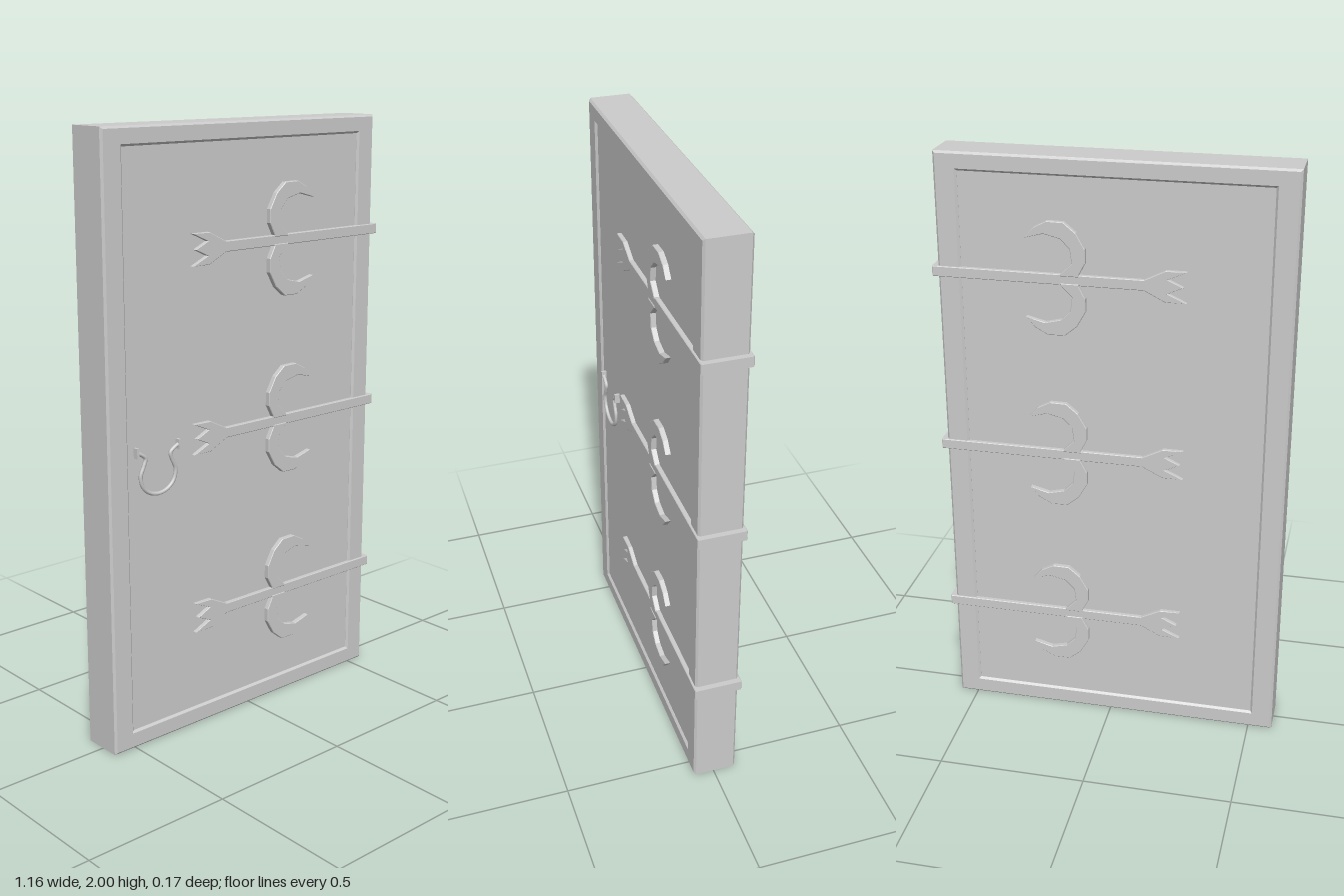
import * as THREE from 'three';

const MID_Z = -0.004;      // middle of the door's thickness
const HALF = 0.074;        // half thickness of the door frame
const material = new THREE.MeshStandardMaterial({ color: 0xcccccc, flatShading: true });
const smooth = new THREE.MeshStandardMaterial({ color: 0xcccccc });

function addMesh(parent, name, geometry, x = 0, y = 0, z = 0, mat = material) {
  const mesh = new THREE.Mesh(geometry, mat);
  mesh.name = name;
  mesh.position.set(x, y, z);
  parent.add(mesh);
  return mesh;
}

const toPoints = (list) => list.map(([x, y]) => new THREE.Vector2(x, y));

function rectangle(x0, y0, x1, y1) {
  return toPoints([[x0, y0], [x1, y0], [x1, y1], [x0, y1]]);
}

// Flat metalwork with a tiny bevel, running from z = 0 to z = depth
function plate(points, depth) {
  const bevel = 0.002;
  const geometry = new THREE.ExtrudeGeometry(new THREE.Shape(points), {
    depth: depth - bevel, bevelEnabled: true, bevelThickness: bevel,
    bevelSize: bevel, bevelOffset: -bevel, bevelSegments: 1,
  });
  return geometry;
}

// Strap with a split, arrow-like tail, symmetric about y = 0
function strapGeometry(depth) {
  const upper = [[0.58, 0.017], [-0.11, 0.017], [-0.178, 0.051], [-0.246, 0.051], [-0.185, 0.023]];
  const lower = upper.map(([x, y]) => [x, -y]).reverse();
  return plate(toPoints([...upper, [-0.235, 0], ...lower]), depth);
}

// One horn of the crescent; side is 1 for the upper and -1 for the lower
function hornGeometry(side, depth) {
  const outline = [
    [0.098, 0.012], [0.098, 0.018], [0.077, 0.058], [0.077, 0.103], [0.106, 0.154], [0.145, 0.186],
    [0.2, 0.187], [0.242, 0.165], [0.272, 0.13],
    [0.21, 0.146], [0.157, 0.133], [0.126, 0.102], [0.12, 0.055], [0.157, 0.018], [0.157, 0.012],
  ];
  return plate(toPoints(outline.map(([x, y]) => [x, y * side])), depth);
}

// Straps and horns on one face of the door
function hingeFace(name) {
  const face = new THREE.Group();
  face.name = name;
  addMesh(face, 'strap', strapGeometry(0.03));
  addMesh(face, 'upperHorn', hornGeometry(1, 0.0325));
  addMesh(face, 'lowerHorn', hornGeometry(-1, 0.0325));
  return face;
}

function createHinge(y) {
  const hinge = new THREE.Group();
  hinge.name = 'hinge';
  const front = hingeFace('hingeFront');
  front.position.z = 0.047;
  // The back face is the same ironwork mirrored through its thickness
  const back = hingeFace('hingeBack');
  back.scale.z = -1;
  back.position.z = 2 * MID_Z - 0.0465;
  hinge.add(front, back);
  addMesh(hinge, 'hingeWrap', new THREE.BoxGeometry(0.022, 0.034, 0.156), 0.571, 0, MID_Z + 0.001);
  hinge.position.y = y;
  return hinge;
}

function createHandle() {
  const handle = new THREE.Group();
  handle.name = 'handle';
  // Horseshoe ring with ends flaring out to the lugs
  const half = [[0.082, 0.07], [0.066, 0.062], [0.05, 0.048], [0.057, 0.024], [0.07, -0.008], [0.062, -0.044], [0.036, -0.068]];
  const path = [...half, [0, -0.077], ...half.map(([x, y]) => [-x, y]).reverse()];
  const curve = new THREE.CatmullRomCurve3(path.map(([x, y]) => new THREE.Vector3(x, y, 0)));
  addMesh(handle, 'handleRing', new THREE.TubeGeometry(curve, 64, 0.0065, 8), 0, 0, 0, smooth);
  for (const side of [-1, 1]) {
    addMesh(handle, 'handleLug', new THREE.BoxGeometry(0.008, 0.034, 0.024), side * 0.084, 0.07, -0.004);
  }
  handle.position.set(-0.393, 0.932, 0.072);
  return handle;
}

export function createModel() {
  const door = new THREE.Group();
  door.name = 'door';

  // Frame with bevelled outer and inner edges
  const bevel = 0.007;
  const outline = new THREE.Shape(rectangle(-0.583, 0, 0.563, 2));
  outline.holes.push(new THREE.Path(rectangle(-0.506, 0.062, 0.487, 1.94).reverse()));
  const frame = new THREE.ExtrudeGeometry(outline, {
    depth: 2 * (HALF - bevel), bevelEnabled: true, bevelThickness: bevel,
    bevelSize: bevel, bevelOffset: -bevel, bevelSegments: 1,
  });
  addMesh(door, 'doorFrame', frame, 0, 0, MID_Z - HALF + bevel);

  // Panel set slightly back from the frame on both faces
  const panelDepth = 2 * (HALF - 0.008);
  addMesh(door, 'doorPanel', new THREE.BoxGeometry(1.0, 1.885, panelDepth), -0.0095, 1.001, MID_Z);

  for (const y of [0.387, 1.003, 1.613]) door.add(createHinge(y));
  door.add(createHandle());
  return door;
}
